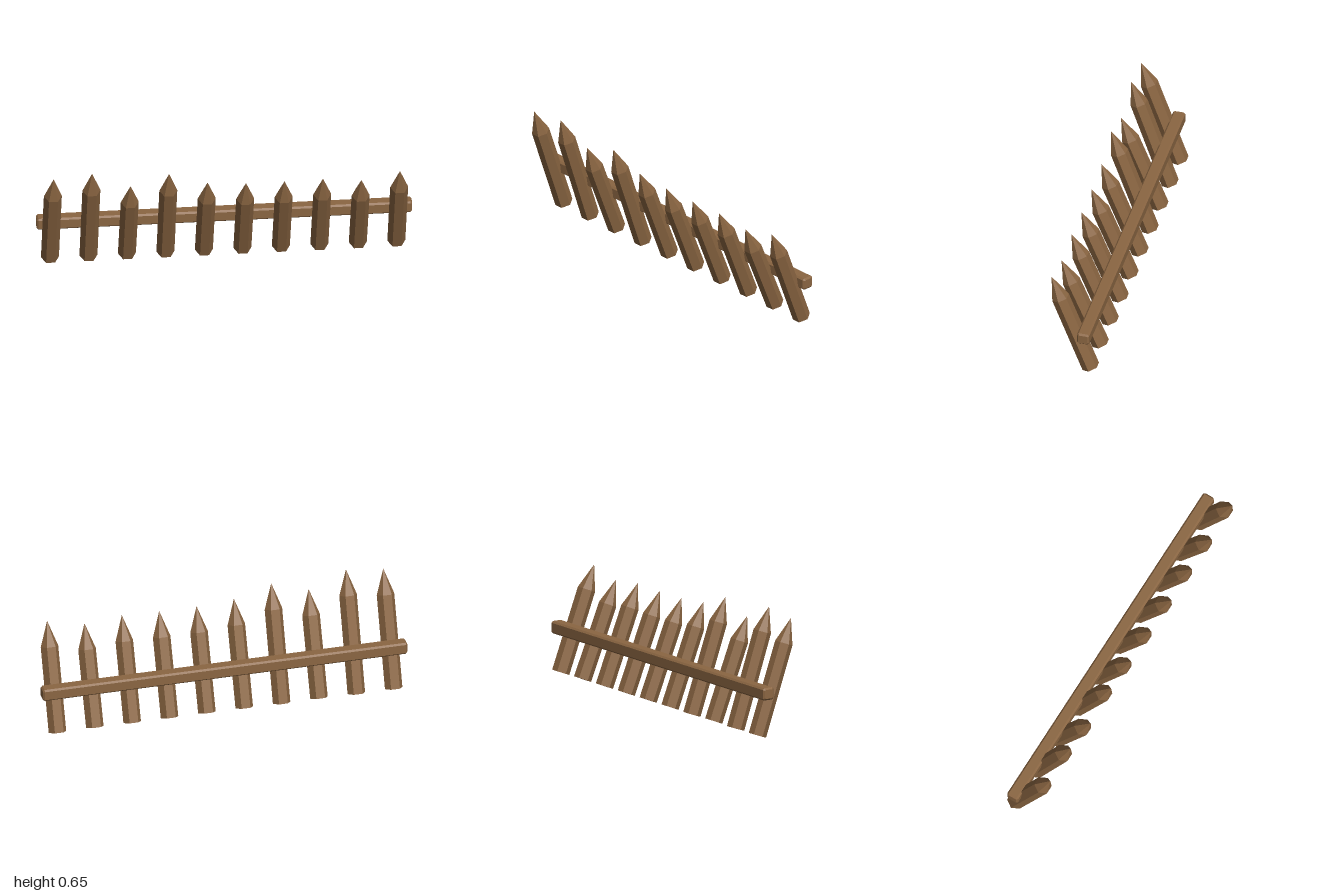
import * as THREE from 'three';

const wood = new THREE.MeshStandardMaterial({ color: 0x8b6642, flatShading: true });
wood.name = 'brown wood';

// Six-sided stake with a sharpened tip, leaning forward until its tip reaches height h
function makeStake(x, h, yaw) {
  const radius = 0.048, baseZ = -0.088, tipZ = 0.127, point = 0.138;
  const tilt = Math.atan2(tipZ - baseZ, h - 0.016);
  const baseY = radius * Math.cos(Math.PI / 6) * Math.sin(tilt);
  const length = Math.hypot(tipZ - baseZ, h - baseY);
  const profile = [[0, 0], [radius, 0], [radius, length - point], [0, length]]
    .map(([r, y]) => new THREE.Vector2(r, y));
  const stake = new THREE.Mesh(new THREE.LatheGeometry(profile, 6, Math.PI / 6 + yaw), wood);
  stake.rotation.x = tilt;
  stake.position.set(x, baseY, baseZ);
  return stake;
}

// Square beam with chamfered edges, running along x
function makeRail(length, size, chamfer) {
  const a = size / 2 - chamfer;
  const square = new THREE.Shape();
  const b = size / 2;
  [[b, -a], [b, a], [a, b], [-a, b], [-b, a], [-b, -a], [-a, -b], [a, -b]]
    .forEach(([x, y], i) => (i ? square.lineTo(x, y) : square.moveTo(x, y)));
  square.closePath();
  const geometry = new THREE.ExtrudeGeometry(square, {
    depth: length - 2 * chamfer, bevelEnabled: true, bevelSegments: 1,
    bevelThickness: chamfer, bevelSize: chamfer, bevelOffset: -chamfer,
  });
  geometry.translate(0, 0, chamfer - length / 2);
  geometry.rotateY(Math.PI / 2);
  return new THREE.Mesh(geometry, wood);
}

export function createModel() {
  const group = new THREE.Group();
  group.name = 'stakeBarricade';

  // Row of stakes of uneven height
  const heights = [0.625, 0.65, 0.56, 0.625, 0.56, 0.545, 0.545, 0.55, 0.53, 0.575];
  heights.forEach((h, i) => {
    const stake = makeStake(-0.925 + i * 0.205, h, 0);
    stake.name = `stake${i + 1}`;
    group.add(stake);
  });

  // Rail behind the stakes
  const rail = makeRail(2, 0.067, 0.009);
  rail.name = 'rail';
  rail.position.set(0, 0.248, -0.065);
  group.add(rail);

  return group;
}
